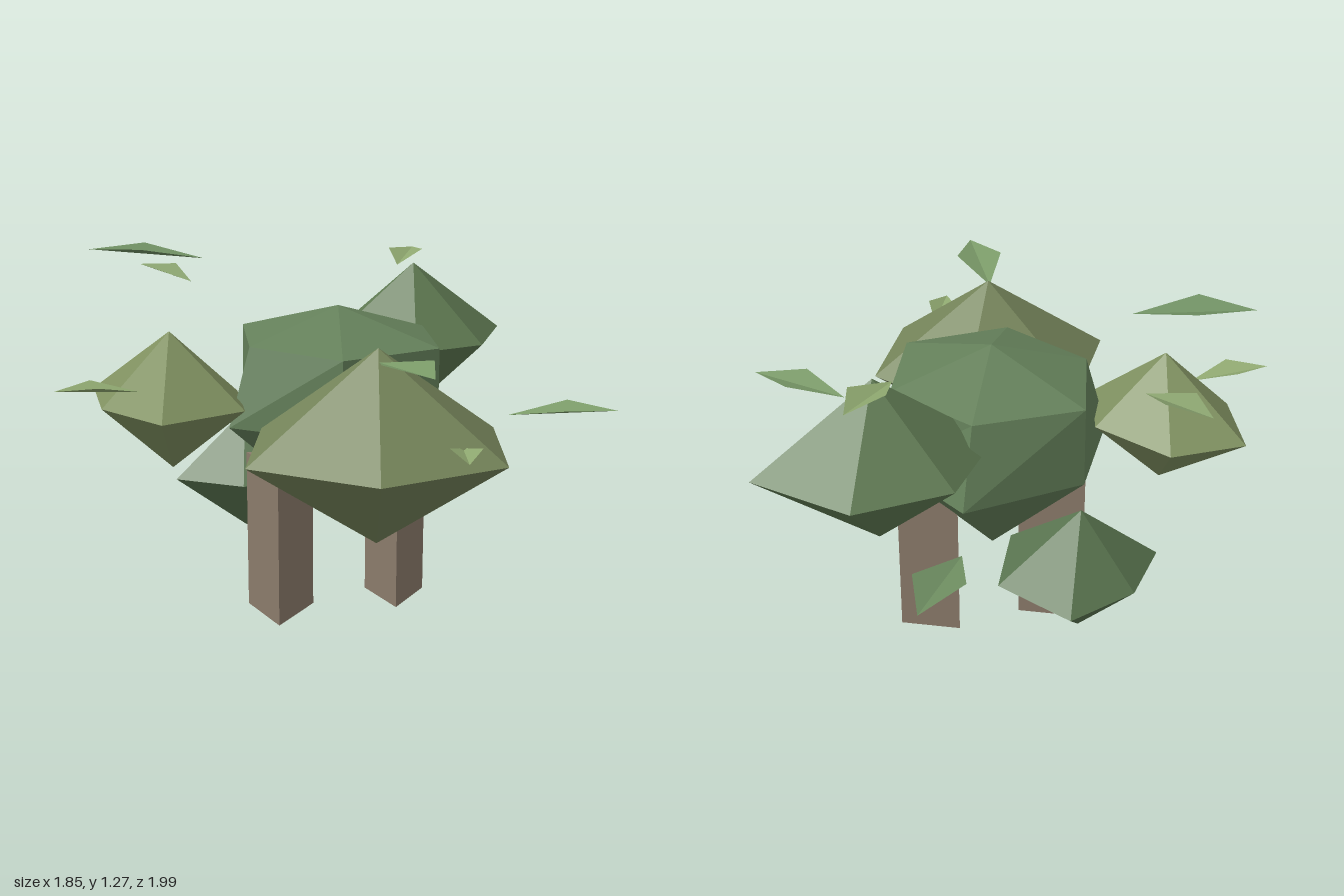
import * as THREE from 'three';

const material = (color, side = THREE.FrontSide) =>
  new THREE.MeshStandardMaterial({ color, side, flatShading: true });

function meshFromTriangles(name, points, mat) {
  const geometry = new THREE.BufferGeometry().setFromPoints(points);
  geometry.computeVertexNormals();
  const mesh = new THREE.Mesh(geometry, mat);
  mesh.name = name;
  return mesh;
}

// Faceted foliage: a top point, rings of [x, z] corners at given heights, a bottom point.
// Corners run from +x towards +z.
function foliage(name, color, [x, z], top, bottom, rings) {
  const apex = new THREE.Vector3(x, top, z);
  const nadir = new THREE.Vector3(x, bottom, z);
  const loops = rings.map(({ y, corners }) => corners.map(([cx, cz]) => new THREE.Vector3(cx, y, cz)));
  const first = loops[0];
  const last = loops[loops.length - 1];
  const tris = [];
  for (let i = 0; i < first.length; i++) {
    const j = (i + 1) % first.length;
    tris.push(apex, first[j], first[i]);
    for (let k = 0; k + 1 < loops.length; k++) {
      const u = loops[k], l = loops[k + 1];
      tris.push(u[i], l[j], l[i], u[i], u[j], l[j]);
    }
    tris.push(nadir, last[i], last[j]);
  }
  return meshFromTriangles(name, tris, material(color));
}

// Loose leaf: a kite folded along its midrib, with raised sides
function leaf(base, tip, color) {
  const a = new THREE.Vector3(...base);
  const b = new THREE.Vector3(...tip);
  const axis = b.clone().sub(a);
  const across = new THREE.Vector3(-axis.z, 0, axis.x).multiplyScalar(0.22);
  const mid = a.clone().addScaledVector(axis, 0.53);
  mid.y += 0.025;
  const left = mid.clone().sub(across);
  const right = mid.clone().add(across);
  return meshFromTriangles('looseLeaf', [a, b, left, a, right, b], material(color, THREE.DoubleSide));
}

export function createModel() {
  const tree = new THREE.Group();
  tree.name = 'tree';

  // Three-sided trunks: [name, x, z, radius]
  for (const [name, x, z, r] of [['leftTrunk', 0.261, 0.025, 0.122], ['rightTrunk', -0.168, -0.05, 0.133]]) {
    const trunk = new THREE.Mesh(
      new THREE.CylinderGeometry(r, r, 0.565, 3, 1, false, Math.PI / 2), material(0x8b7b6b));
    trunk.position.set(x, 0.2825, z);
    trunk.name = name;
    tree.add(trunk);
  }

  // Main crown: two rings between a shallow cap and a deep point
  tree.add(foliage('mainCrown', 0x64805a, [0.06, -0.04], 1.075, 0.315, [
    { y: 0.967, corners: [[0.41, -0.045], [0.25, 0.295], [-0.12, 0.295], [-0.28, -0.04], [-0.13, -0.385], [0.24, -0.36]] },
    { y: 0.7, corners: [[0.43, -0.045], [0.25, 0.295], [-0.12, 0.295], [-0.36, -0.04], [-0.13, -0.39], [0.295, -0.425]] },
  ]));

  // Side clusters: six-sided double pyramids
  tree.add(
    foliage('frontCluster', 0x75845a, [-0.13, 0.52], 1.055, 0.43, [
      { y: 0.745, corners: [[0.31, 0.52], [0.09, 0.895], [-0.34, 0.875], [-0.585, 0.52], [-0.34, 0.155], [0.1, 0.15]] }]),
    foliage('leftCluster', 0x5f7a52, [0.53, -0.29], 1.147, 0.588, [
      { y: 0.868, corners: [[0.925, -0.29], [0.67, -0.04], [0.39, -0.05], [0.14, -0.29], [0.365, -0.565], [0.69, -0.58]] }]),
    foliage('rightCluster', 0x7f9060, [-0.503, -0.185], 1.017, 0.547, [
      { y: 0.783, corners: [[-0.255, -0.185], [-0.355, 0.07], [-0.66, 0.095], [-0.75, -0.185], [-0.665, -0.475], [-0.4, -0.46]] }]),
    foliage('backCluster', 0x5a7550, [-0.1, -0.44], 0.637, 0.19, [
      { y: 0.412, corners: [[0.185, -0.44], [0.04, -0.17], [-0.21, -0.24], [-0.38, -0.44], [-0.21, -0.63], [0.04, -0.7]] }]),
  );

  // Loose leaves around the crown: [base, tip, color]
  const leaves = [
    [[0.395, 0.743, -0.71], [0.62, 0.782, -1.0], 0x6f8f62],
    [[0.455, 0.738, 0.405], [0.722, 0.773, 0.647], 0x7a9a68],
    [[0.475, 1.14, -0.315], [0.678, 1.165, -0.523], 0x8fa870],
    [[-0.237, 1.1, -0.58], [-0.322, 1.133, -0.85], 0x869f6c],
    [[-0.32, 1.23, -0.295], [-0.66, 1.263, -0.472], 0x6f8f62],
    [[-0.65, 0.848, -0.1], [-0.925, 0.875, -0.137], 0x8fa870],
    [[-0.15, 1.02, 0.56], [-0.205, 1.055, 0.935], 0x7a9a68],
    [[-0.01, 0.795, 0.8], [-0.122, 0.812, 0.99], 0x8fa870],
  ];
  const leafGroup = new THREE.Group();
  leafGroup.name = 'looseLeaves';
  for (const l of leaves) leafGroup.add(leaf(...l));
  tree.add(leafGroup);
  return tree;
}
